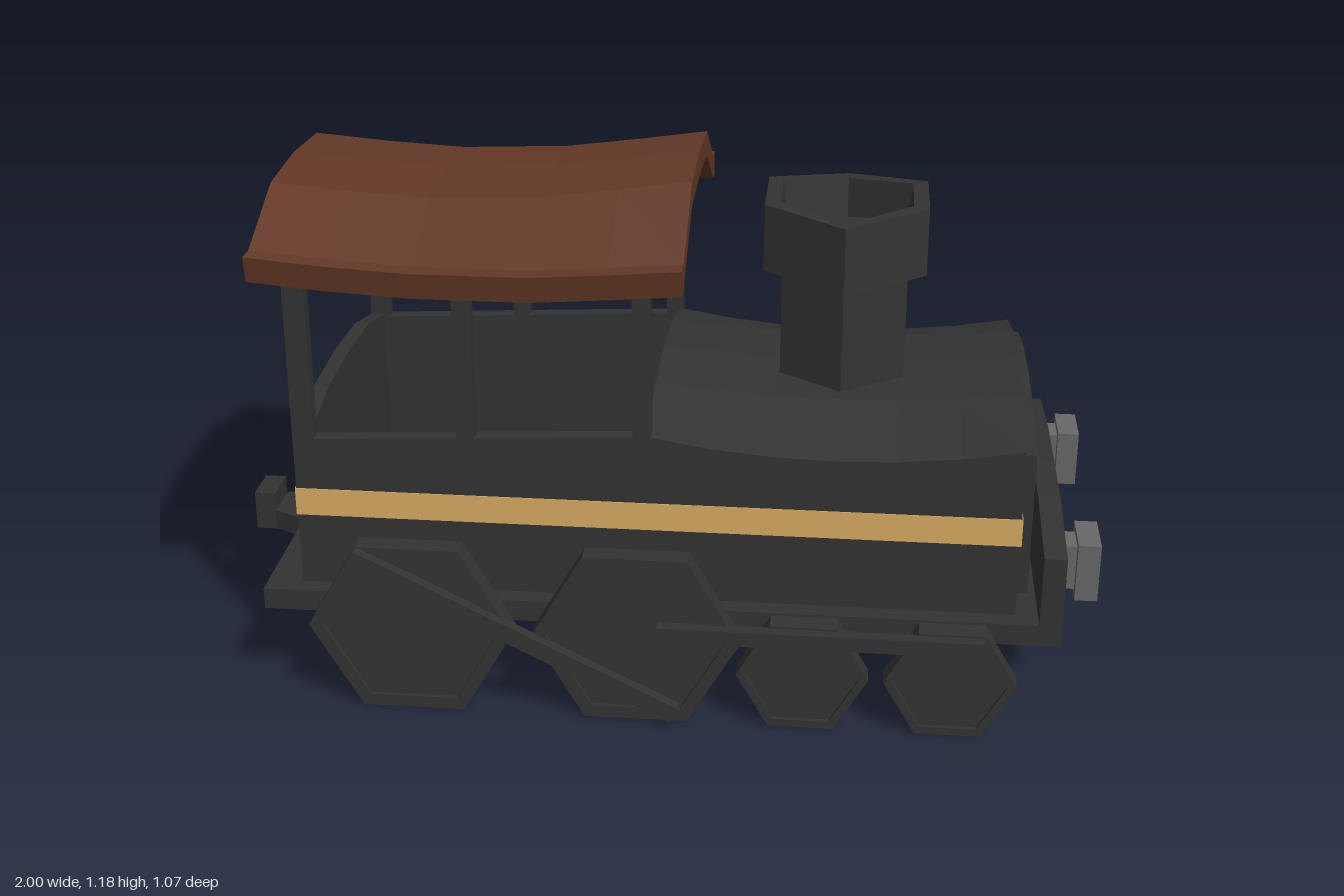
import * as THREE from 'three';

const paint = (color) => new THREE.MeshStandardMaterial({ color, flatShading: true });
const BLACK = paint(0x333333), BROWN = paint(0x633826), GOLD = paint(0xd9ab63), STEEL = paint(0x686868);

// Solid skinned along x: sections are { x, ring }, ring = [z, y] points counter-clockwise seen from +x
function loft(sections) {
  const n = sections[0].ring.length, pos = [], index = [];
  for (const { x, ring } of sections) for (const [z, y] of ring) pos.push(x, y, z);
  for (let s = 0; s < sections.length - 1; s++) {
    for (let i = 0; i < n; i++) {
      const a = s * n + i, b = s * n + (i + 1) % n;
      index.push(a, b, b + n, a, b + n, a + n);
    }
  }
  const cap = (ring) => THREE.ShapeUtils.triangulateShape(ring.map(([z, y]) => new THREE.Vector2(-z, y)), []);
  const last = (sections.length - 1) * n;
  for (const [a, b, c] of cap(sections[0].ring)) index.push(a, c, b);
  for (const [a, b, c] of cap(sections[sections.length - 1].ring)) index.push(last + a, last + b, last + c);
  const g = new THREE.BufferGeometry();
  g.setAttribute('position', new THREE.Float32BufferAttribute(pos, 3));
  g.setIndex(index);
  const flat = g.toNonIndexed();
  flat.computeVertexNormals();
  return flat;
}

// Symmetric ring: lower and upper halves run from the +z edge to the middle
const mirrorZ = (half) => [...half, ...half.slice(0, -1).reverse().map(([z, y]) => [-z, y])];
const ringOf = (lower, upper) => [...mirrorZ(lower), ...mirrorZ(upper).reverse()];
const archRing = (w, low, side, shoulder, top) =>
  ringOf([[w, low], [0, low]], [[w, side], [0.2, shoulder], [0, top]]);

export function createModel() {
  const model = new THREE.Group();
  const add = (name, geometry, material = BLACK) => {
    const mesh = new THREE.Mesh(geometry, material);
    mesh.name = name;
    model.add(mesh);
    return mesh;
  };
  // Box given by its limits
  const box = (name, x0, x1, y0, y1, z0, z1, material) => {
    const mesh = add(name, new THREE.BoxGeometry(x1 - x0, y1 - y0, z1 - z0), material);
    mesh.position.set((x0 + x1) / 2, (y0 + y1) / 2, (z0 + z1) / 2);
    return mesh;
  };
  // Same box on both sides, with z measured outwards
  const pair = (name, x0, x1, y0, y1, z0, z1, material) => {
    box(name + 'Left', x0, x1, y0, y1, z0, z1, material);
    box(name + 'Right', x0, x1, y0, y1, -z1, -z0, material);
  };

  // Chassis and the plate across its front
  box('chassis', -0.87, 0.92, 0.2, 0.25, -0.445, 0.445);
  const beam = archRing(0.445, 0.22, 0.415, 0.445, 0.447);
  add('bufferBeam', loft([{ x: 0.87, ring: beam }, { x: 0.92, ring: beam }]));

  // Rear coupler with an upright hook block
  const coupler = new THREE.Shape([[-0.87, -0.09], [-0.87, 0.09], [-0.95, 0.05], [-1, 0.05], [-1, -0.05], [-0.95, -0.05]]
    .map(([x, z]) => new THREE.Vector2(x, z)));
  add('coupler', new THREE.ExtrudeGeometry(coupler, { depth: 0.05, bevelEnabled: false })
    .rotateX(-Math.PI / 2).translate(0, 0.2, 0));
  box('couplerHook', -1, -0.95, 0.24, 0.295, -0.05, 0.05);

  // Front buffers
  pair('bufferNeck', 0.91, 0.96, 0.29, 0.395, 0.265, 0.34, STEEL);
  pair('buffer', 0.95, 1, 0.275, 0.41, 0.24, 0.365, STEEL);

  // Boiler hood, sagging at mid length
  const hood = [];
  for (let i = 0; i <= 6; i++) {
    const t = i / 6, sag = 4 * t * (1 - t);
    hood.push({ x: 0.82 * t, ring: archRing(0.4, 0.24, 0.645 - 0.04 * sag, 0.692 - 0.025 * sag, 0.704 - 0.022 * sag) });
  }
  add('hood', loft(hood));
  const plate = archRing(0.37, 0.29, 0.625, 0.66, 0.672);
  add('frontPlate', loft([{ x: 0.81, ring: plate }, { x: 0.845, ring: plate }]));

  // Open cab: sloping side walls and arched rear wall
  const wall = new THREE.Shape([[-0.79, 0.24], [0.01, 0.24], [0.01, 0.645], [-0.79, 0.605]]
    .map(([x, y]) => new THREE.Vector2(x, y)));
  for (const z of [0.365, -0.4]) {
    add('cabSideWall', new THREE.ExtrudeGeometry(wall, { depth: 0.035, bevelEnabled: false }).translate(0, 0, z));
  }
  const rear = archRing(0.399, 0.24, 0.605, 0.65, 0.66);
  add('cabRearWall', loft([{ x: -0.79, ring: rear }, { x: -0.755, ring: rear }]));

  // Stripe around the body
  pair('sideStripe', -0.792, 0.822, 0.42, 0.485, 0.395, 0.402, GOLD);
  box('rearStripe', -0.793, -0.785, 0.42, 0.485, -0.4, 0.4, GOLD);
  box('frontStripe', 0.815, 0.823, 0.42, 0.485, -0.4, 0.4, GOLD);

  // Roof posts
  for (const [x0, x1] of [[-0.79, -0.742], [-0.42, -0.38], [-0.03, 0.01]]) {
    pair('roofPost', x0, x1, 0.58, 1.0, 0.366, 0.401);
  }

  // Curved roof: drop lowers the section, flat lowers the crown
  const roof = [[-0.855, 0, 0.03], [-0.68, -0.015, 0.03], [-0.5, -0.025, 0.03], [-0.25, -0.025, 0.02], [-0.08, -0.013, 0.01], [0.08, 0, 0]]
    .map(([x, drop, flat]) => ({
      x,
      ring: ringOf(
        [[0.435, 0.985 + drop], [0.4, 0.99 + drop], [0.2, 1.108 + drop - flat], [0, 1.12 + drop - flat]],
        [[0.447, 1.045 + drop], [0.4, 1.045 + drop], [0.2, 1.165 + drop - flat], [0, 1.177 + drop - flat]]),
    }));
  add('roof', loft(roof), BROWN);

  // Six-sided chimney with a flared hollow cap whose rim rises fore and aft
  const lathe = (pts, start) => new THREE.LatheGeometry(pts.map(([r, y]) => new THREE.Vector2(r, y)), 6, start);
  const chimney = lathe([[0.163, 0.6], [0.163, 0.915], [0.21, 0.915], [0.21, 1.07], [0.17, 1.07], [0.16, 0.98], [0, 0.98]], 0);
  const p = chimney.attributes.position;
  for (let i = 0; i < p.count; i++) {
    if (p.getY(i) > 0.9 && Math.abs(p.getX(i)) > 0.05) p.setY(i, p.getY(i) + 0.018);
  }
  add('chimney', chimney).position.x = 0.415;

  // Six-sided wheels with recessed faces, and the rods outside them
  for (const s of [1, -1]) {
    for (const [x, r] of [[-0.52, 0.231], [-0.015, 0.231], [0.355, 0.146], [0.68, 0.146]]) {
      const wheel = add('wheel', lathe([[0, -0.025], [r, -0.025], [r, 0.025], [r * 0.86, 0.025], [r * 0.86, 0.015], [0, 0.015]], Math.PI / 2));
      wheel.rotation.x = s * Math.PI / 2;
      wheel.position.set(x, r * 0.866, s * 0.485);
    }
    const rod = add('driveRod', new THREE.BoxGeometry(0.8, 0.04, 0.027));
    rod.position.set(-0.285, 0.205, s * 0.521);
    rod.rotation.z = -0.46;
  }
  pair('couplingRod', 0.035, 0.75, 0.212, 0.247, 0.505, 0.535);

  return model;
}
